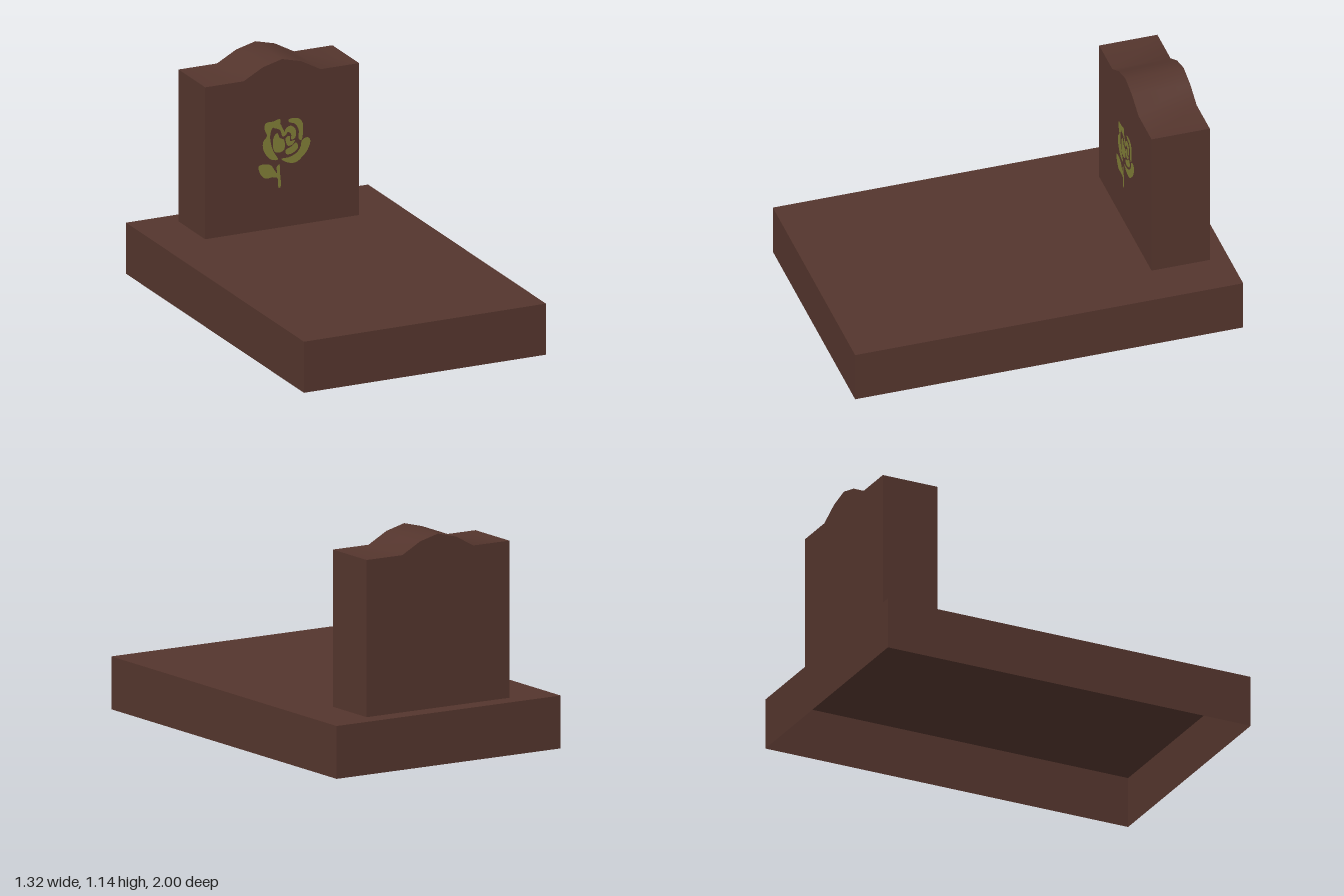
import * as THREE from 'three';
import { toCreasedNormals } from 'three/addons/utils/BufferGeometryUtils.js';

const stone = new THREE.MeshStandardMaterial({ color: 0x54352d, side: THREE.DoubleSide });
stone.name = 'brown stone';
const olive = new THREE.MeshStandardMaterial({ color: 0x7f7c36, side: THREE.DoubleSide });
olive.name = 'olive inlay';

const W = 1.32, L = 2, H = 0.265;            // plinth size
const BACK = -0.905, DEPTH = 0.3;            // headstone placement

function addMesh(parent, name, geometry, material) {
  const mesh = new THREE.Mesh(geometry, material);
  mesh.name = name;
  parent.add(mesh);
  return mesh;
}

// Plinth: thin shell with an open underside
function buildPlinth() {
  const plinth = new THREE.Group();
  plinth.name = 'plinth';
  const top = addMesh(plinth, 'plinthTop', new THREE.PlaneGeometry(W, L), stone);
  top.rotation.x = -Math.PI / 2;
  top.position.y = H;
  for (let i = 0; i < 4; i++) {
    const side = i % 2 === 1;
    const wall = addMesh(plinth, 'plinthWall', new THREE.PlaneGeometry(side ? L : W, H), stone);
    const angle = i * Math.PI / 2;
    const reach = side ? W / 2 : L / 2;
    wall.rotation.y = angle;
    wall.position.set(Math.sin(angle) * reach, H / 2, Math.cos(angle) * reach);
  }
  return plinth;
}

// Headstone: upright slab with a softly crowned top
function headstoneGeometry() {
  const crown = [[0.42, 1.053], [0.21, 1.053], [0.105, 1.11], [0, 1.137],
    [-0.105, 1.11], [-0.21, 1.053], [-0.42, 1.053]];
  const outline = [[-0.42, H], [0.42, H], ...crown].map(([x, y]) => new THREE.Vector2(x, y));
  const geometry = new THREE.ExtrudeGeometry(new THREE.Shape(outline), { depth: DEPTH, bevelEnabled: false });
  geometry.translate(0, 0, BACK);
  return toCreasedNormals(geometry, 0.6);
}

// Rose emblem outlines: x from the centre line, y downward from the emblem's top
const rose = {
  leftPetal: [[-26, 3], [-14, 2], [-4, 0], [-4, 8], [-15, 11], [-19, 22], [-17, 38], [-13, 48], [-7, 59],
    [-17, 58], [-26, 49], [-30, 40], [-30, 30], [-24, 22], [-28, 11]],
  innerLeftPetal: [[-13, 24], [-8, 20], [-4, 28], [2, 31], [3, 45], [-3, 49], [-12, 47], [-15, 36]],
  upperBand: [[-14, 11], [-4, 7], [0, 14], [5, 25], [0, 26], [-4, 16]],
  rightPetal: [[9, 3], [22, 2], [30, 8], [32, 20], [29, 36], [25, 33], [25, 20], [19, 10], [11, 7]],
  heart: [[4, 17], [12, 12], [20, 18], [20, 30], [14, 33], [13, 24], [8, 21], [5, 25]],
  heartFold: [[5, 29], [11, 27], [12, 35], [19, 34], [16, 40], [8, 41]],
  lowerFold: [[5, 47], [13, 43], [21, 38], [24, 46], [15, 53], [6, 53]],
  lowerPetal: [[30, 36], [39, 33], [43, 38], [39, 51], [31, 60], [21, 67], [9, 66], [-2, 59], [10, 58],
    [22, 53], [28, 45]],
  leaf: [[-37, 65], [-28, 63], [-18, 66], [-13, 73], [-9, 81], [-17, 84], [-27, 84], [-34, 77]],
  stem: [[-5, 66], [-4, 78], [-3, 100], [-6, 101], [-8, 86], [-16, 84], [-9, 79], [-9, 70]],
};

function buildRose() {
  const group = new THREE.Group();
  group.name = 'roseEmblem';
  const scale = 1 / 283.5;
  for (const [name, points] of Object.entries(rose)) {
    const loop = new THREE.CatmullRomCurve3(
      points.map(([x, y]) => new THREE.Vector3(x * scale, 0.829 - y * scale, 0)), true, 'centripetal');
    const edge = loop.getPoints(points.length * 4).slice(0, -1).map(p => new THREE.Vector2(p.x, p.y));
    addMesh(group, name, new THREE.ShapeGeometry(new THREE.Shape(edge)), olive);
  }
  group.position.z = BACK + DEPTH + 0.004;
  return group;
}

export function createModel() {
  const model = new THREE.Group();
  model.name = 'gravestone';
  model.add(buildPlinth());
  addMesh(model, 'headstone', headstoneGeometry(), stone);
  model.add(buildRose());
  return model;
}
